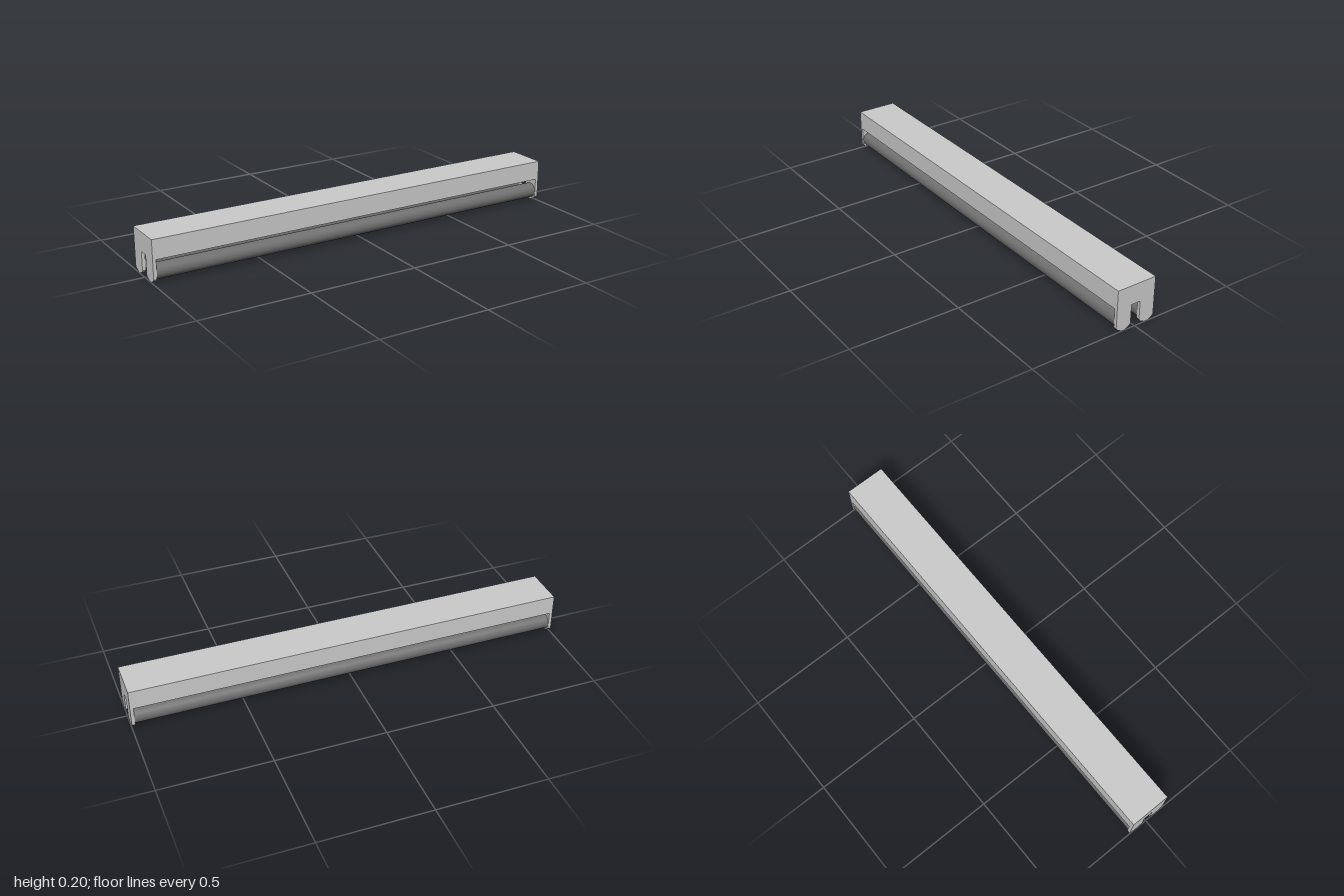
import * as THREE from 'three';

const HALF = 1, PLATE = 0.015, W = 0.0945, TOP = 0.196, BASE = 0.107;

// Half outline of an end plate as [z, y], from the slot to the outer edge
const LEG = [[0.022, BASE], [0.022, 0.021], [0.03, 0.011], [0.05, 0.001], [0.058, 0],
  [0.066, 0.001], [0.086, 0.011], [W, 0.021], [W, TOP]];

export function createModel() {
  const group = new THREE.Group();
  const grey = new THREE.MeshStandardMaterial({ color: 0xcccccc });
  const dark = new THREE.MeshStandardMaterial({ color: 0x707070 });

  const add = (name, geometry, material, x, y, z) => {
    const mesh = new THREE.Mesh(geometry, material);
    mesh.name = name;
    mesh.position.set(x, y, z);
    group.add(mesh);
    return mesh;
  };

  // Housing bar between the end plates
  const length = 2 * (HALF - PLATE);
  add('housing', new THREE.BoxGeometry(length, TOP - BASE, 2 * W), grey, 0, (TOP + BASE) / 2, 0);

  // Two-legged end plates that hold the tubes
  const outline = [...LEG, ...LEG.map(([z, y]) => [-z, y]).reverse()];
  const shape = new THREE.Shape(outline.map(([z, y]) => new THREE.Vector2(z, y)));
  const plate = new THREE.ExtrudeGeometry(shape, { depth: PLATE, bevelEnabled: false });
  plate.rotateY(Math.PI / 2);
  add('leftEndPlate', plate, grey, HALF - PLATE, 0, 0);
  add('rightEndPlate', plate, grey, -HALF, 0, 0);

  // Pair of lamp tubes
  const tube = new THREE.CylinderGeometry(0.035, 0.035, length, 32);
  tube.rotateZ(Math.PI / 2);
  add('frontTube', tube, dark, 0, 0.045, 0.058);
  add('backTube', tube, dark, 0, 0.045, -0.058);

  return group;
}
